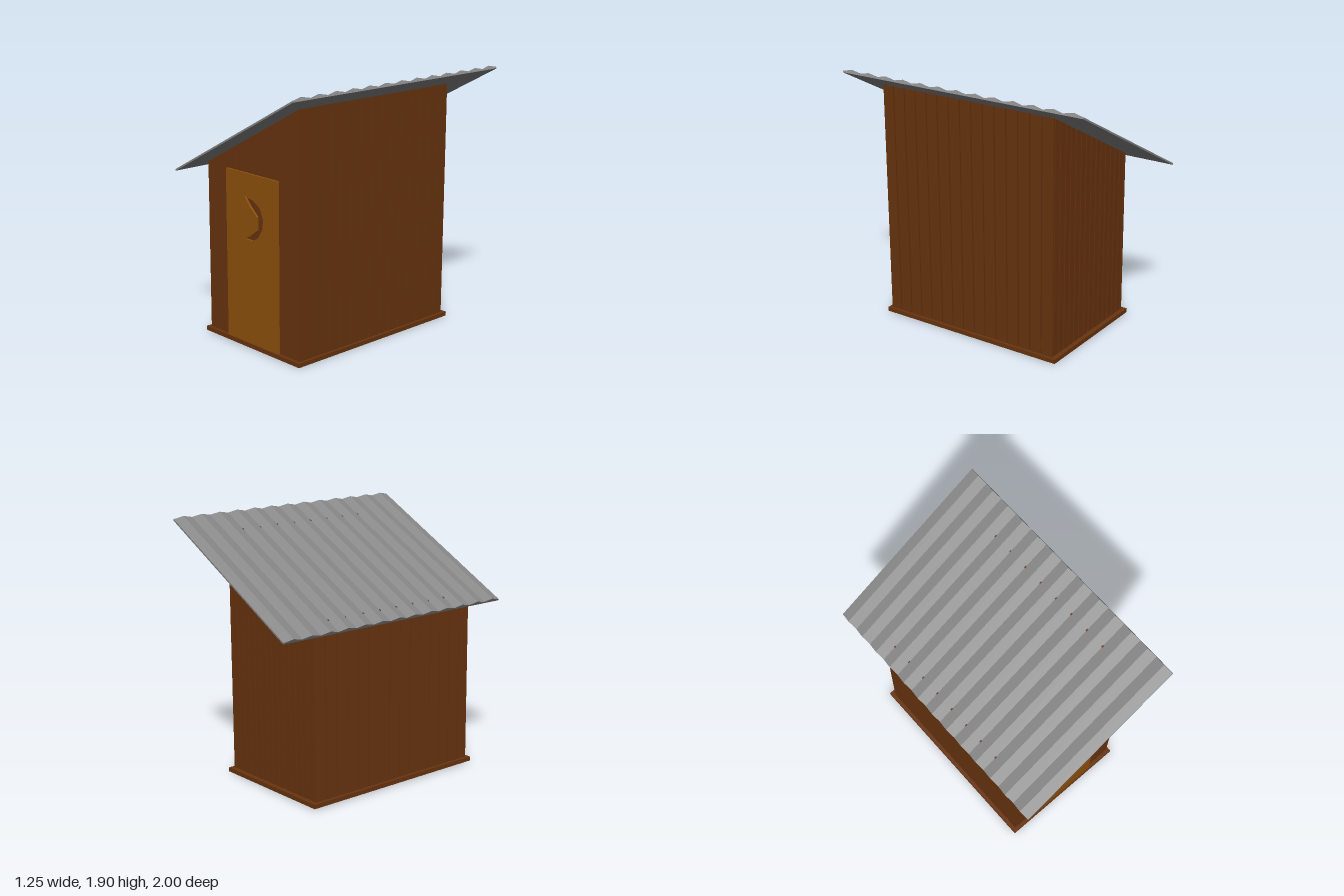
import * as THREE from 'three';

const WOOD = 0x69340f, DOOR = 0x8f520c, METAL = 0x888888;
const LEAN = 0.009;                                  // the whole hut leans slightly to its left
const roofY = (x) => 1.232 + 0.5226 * (x + 0.615);   // underside of the roof

const material = (color) => new THREE.MeshStandardMaterial({ color, flatShading: true });
const toVectors = (pts) => pts.map(([x, y]) => new THREE.Vector2(x, y));
const lean = (pts) => toVectors(pts.map(([x, y]) => [x + LEAN * y, y - LEAN * x]));

// Front-facing outline extruded from z0 to z1
function slab(name, outline, holes, z0, z1, mat) {
  const shape = new THREE.Shape(outline);
  shape.holes = holes.map((h) => new THREE.Path(h));
  const geometry = new THREE.ExtrudeGeometry(shape, { depth: z1 - z0, bevelEnabled: false });
  geometry.translate(0, 0, z0);
  const mesh = new THREE.Mesh(geometry, mat);
  mesh.name = name;
  return mesh;
}

// Upright board whose top follows the roof slope
function wallBoard(name, x0, x1, z0, z1, rise, mat) {
  const top = (x) => {
    const tx = x + LEAN * roofY(x);
    return [x, roofY(tx) + rise + LEAN * x];
  };
  return slab(name, lean([[x0, 0.035], [x1, 0.035], top(x1), top(x0)]), [], z0, z1, mat);
}

function createWalls(mat) {
  const walls = new THREE.Group();
  walls.name = 'walls';
  // Side walls: 15 boards each
  for (let i = 0; i < 15; i++) {
    const z0 = -0.665 + i * 0.0973;
    walls.add(wallBoard('leftWallBoard', 0.411, 0.426, z0, z0 + 0.087, 0.015, mat));
    walls.add(wallBoard('rightWallBoard', -0.529, -0.514, z0, z0 + 0.087, 0.015, mat));
  }
  // Front and back walls: 14 boards each
  for (let i = 0; i < 14; i++) {
    const x0 = -0.508 + i * 0.0656;
    walls.add(wallBoard('frontWallBoard', x0, x0 + 0.057, 0.769, 0.784, 0.004, mat));
    walls.add(wallBoard('backWallBoard', x0, x0 + 0.057, -0.664, -0.649, 0.004, mat));
  }
  return walls;
}

function createFloor(mat) {
  const floor = new THREE.Group();
  floor.name = 'floor';
  for (let i = 0; i < 15; i++) {
    const x0 = -0.555 + i * 0.067;
    floor.add(slab('floorBoard',
      lean([[x0, 0.005], [x0 + 0.065, 0.005], [x0 + 0.065, 0.036], [x0, 0.036]]), [], -0.7, 0.81, mat));
  }
  return floor;
}

function createDoor(mat) {
  const left = -0.315, right = 0.225, pitch = (right - left) / 8;
  // Crescent cut-out
  const moon = toVectors([[-0.11, 1.11], [-0.02, 1.09], [0.05, 1.05], [0.085, 0.97], [0.075, 0.9],
    [0.03, 0.83], [-0.03, 0.8], [-0.11, 0.8], [-0.04, 0.835], [0.02, 0.88], [0.02, 0.98], [-0.05, 1.04]]);
  const holes = [moon];
  // Narrow gaps between the door boards, interrupted by the crescent
  for (let i = 1; i < 8; i++) {
    const x = left + i * pitch;
    const spans = x > -0.13 && x < 0.09 ? [[0.045, 0.78], [1.13, 1.262]] : [[0.045, 1.262]];
    for (const [a, b] of spans) {
      holes.push(lean([[x - 0.0012, a], [x + 0.0012, a], [x + 0.0012, b], [x - 0.0012, b]]));
    }
  }
  return slab('door', lean([[left, 0.032], [right, 0.032], [right, 1.272], [left, 1.272]]),
    holes, 0.785, 0.8, mat);
}

// Corrugated sheet: zigzag profile along z, flat underside, extruded up the slope
function createRoof(mat) {
  const ridges = 13, profile = [[-1, 0], [1, 0]];
  for (let i = 2 * ridges; i >= 0; i--) {
    profile.push([-1 + i / ridges, i % 2 ? 0.029 : 0.012]);
  }
  const length = Math.hypot(1.24, 0.648);
  const roof = slab('roof', toVectors(profile), [], 0, length, mat);
  const along = new THREE.Vector3(1.24, 0.648, 0).normalize();
  const up = new THREE.Vector3(-along.y, along.x, 0);
  const across = new THREE.Vector3().crossVectors(up, along);
  roof.geometry.applyMatrix4(new THREE.Matrix4().makeBasis(across, up, along));
  roof.position.set(-0.615, 1.232, 0);
  return roof;
}

export function createModel() {
  const model = new THREE.Group();
  model.name = 'outhouse';
  const wood = material(WOOD);
  model.add(createFloor(wood), createWalls(wood), createDoor(material(DOOR)), createRoof(material(METAL)));
  return model;
}
